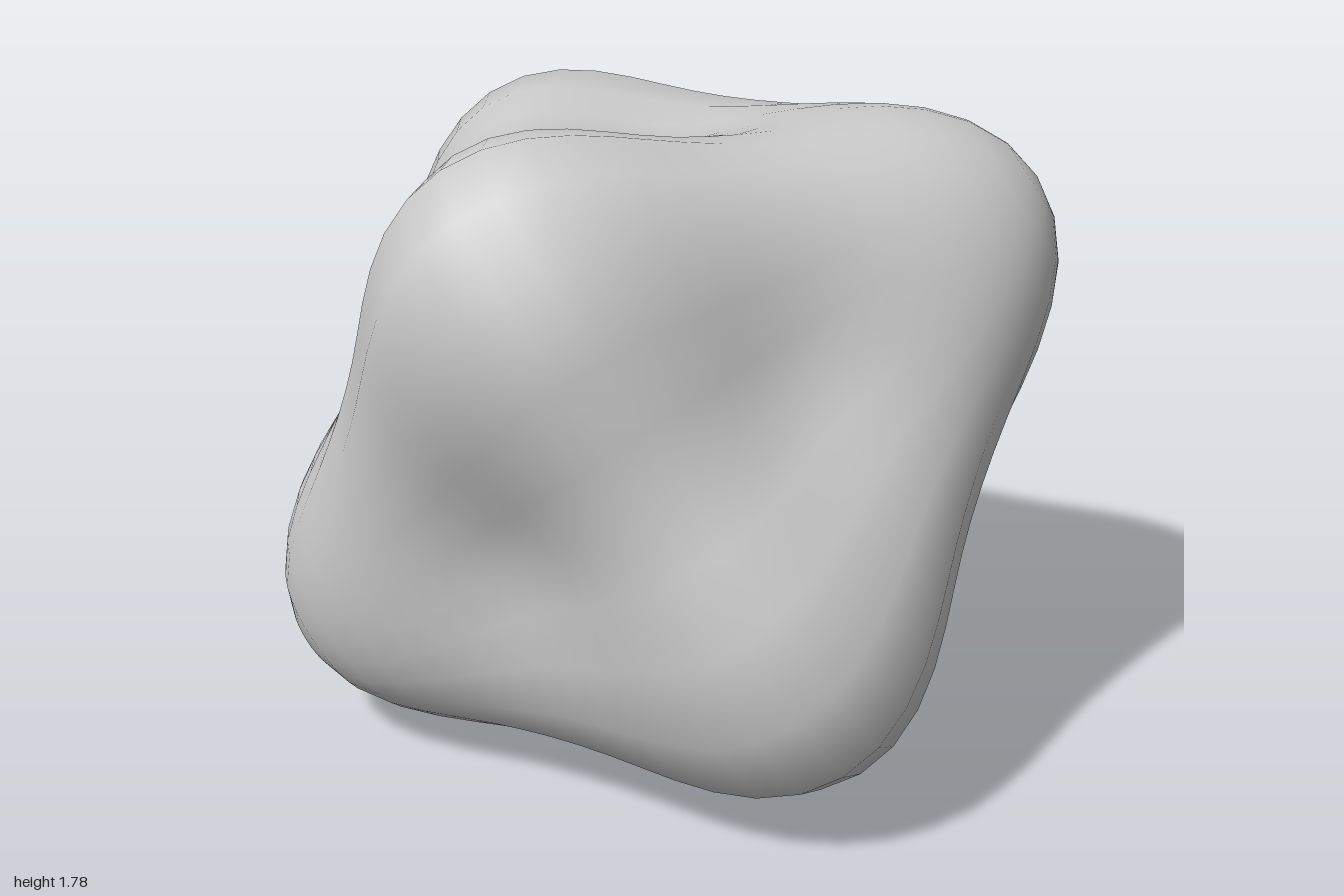
import * as THREE from 'three';
import { mergeVertices } from 'three/addons/utils/BufferGeometryUtils.js';

// Six blunt lobes on three perpendicular axes, joined by ridges with flat faces between.
export function createModel() {
  const group = new THREE.Group();
  group.name = 'lobedStone';

  // Sphere welded along its seam, so that its normals stay smooth
  let geometry = new THREE.SphereGeometry(1, 32, 32);
  geometry.deleteAttribute('normal');
  geometry.deleteAttribute('uv');
  geometry = mergeVertices(geometry, 1e-3);

  // Radius dips between each pair of lobes, most of all around the equator
  const dip = (u, depth) => depth * u - 1.54 * u * u;
  const position = geometry.attributes.position;
  const p = new THREE.Vector3();
  for (let i = 0; i < position.count; i++) {
    p.fromBufferAttribute(position, i).normalize();
    const [x2, y2, z2] = [p.x * p.x, p.y * p.y, p.z * p.z];
    p.multiplyScalar(1.17 - dip(x2 * y2, 1.384) - dip(y2 * z2, 1.384) - dip(x2 * z2, 1.6));
    position.setXYZ(i, p.x, p.y, p.z);
  }

  // Tilt the lobe axes: a upper right, b upper front left, d upper back
  const b = new THREE.Vector3(0.6, 0.56, 0.585).normalize();
  const d = new THREE.Vector3(0.309, 0.534, -0.785);
  d.addScaledVector(b, -d.dot(b)).normalize();
  const a = new THREE.Vector3().crossVectors(b, d);
  geometry.applyMatrix4(new THREE.Matrix4().makeBasis(a, b, d));

  // Stand it on the ground, centred
  geometry.computeBoundingBox();
  const box = geometry.boundingBox;
  const centre = box.getCenter(new THREE.Vector3());
  geometry.translate(-centre.x, -box.min.y, -centre.z);
  geometry.computeVertexNormals();

  const body = new THREE.Mesh(geometry, new THREE.MeshStandardMaterial({ color: 0xcccccc }));
  body.name = 'body';
  group.add(body);
  return group;
}
